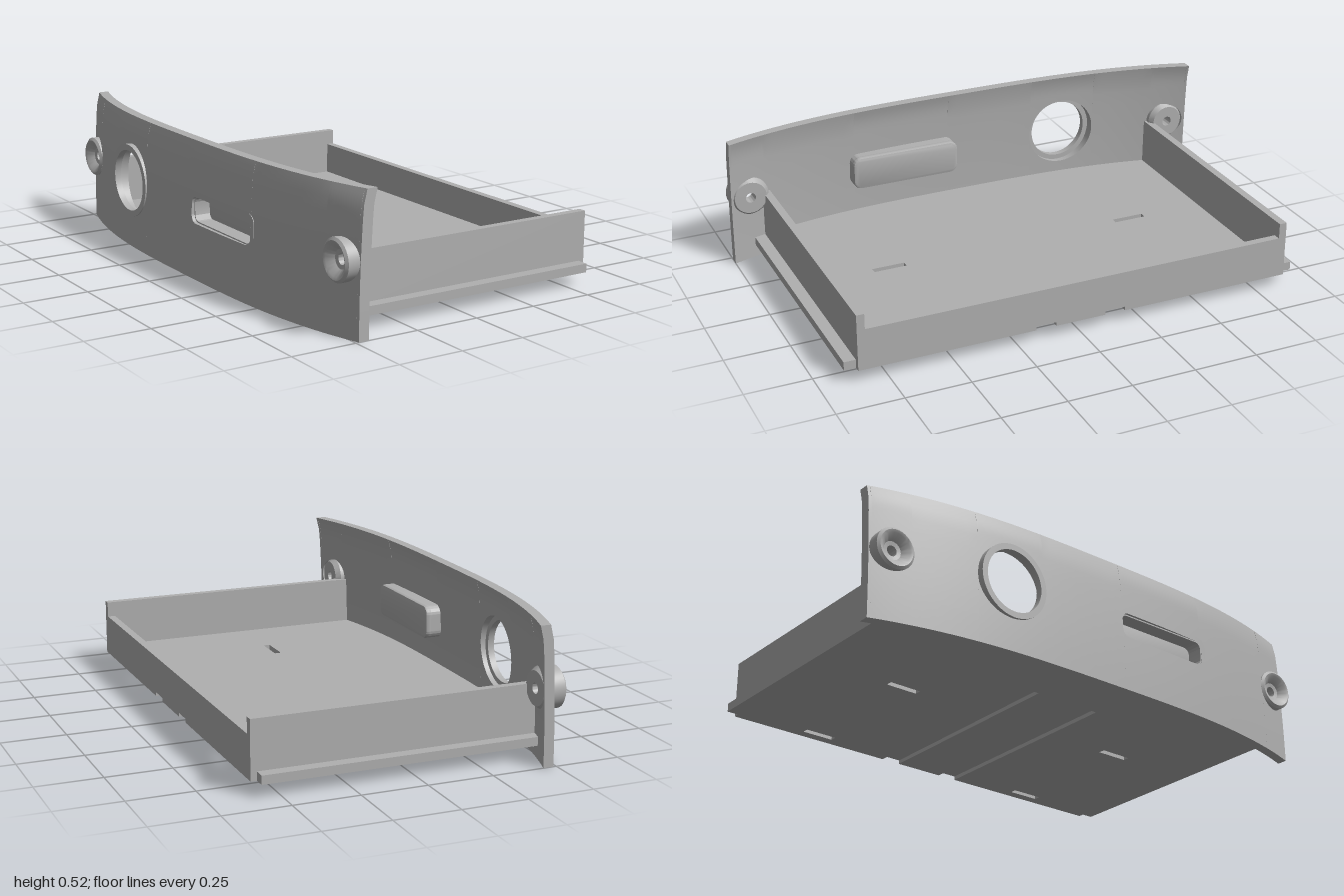
import * as THREE from 'three';
import { mergeGeometries, toCreasedNormals } from 'three/addons/utils/BufferGeometryUtils.js';

const H = 0.52, THICK = 0.04, MID = 0.27;
const plastic = new THREE.MeshStandardMaterial({ color: 0xb0b0b0 });
plastic.name = 'grey plastic';

// Outer face of the bowed, slightly leaning panel
const panelX = (z, y) =>
  -0.6 + 0.112 * Math.abs(z) ** 3 + 0.02 * (y / H) ** 2 + 0.01 * Math.max(0, (y - 0.44) / 0.08) ** 2;

function add(group, name, geometry, crease = 0.5) {
  const mesh = new THREE.Mesh(toCreasedNormals(geometry, crease), plastic);
  mesh.name = name;
  group.add(mesh);
  return mesh;
}

function box(group, name, x0, x1, y0, y1, z0, z1) {
  const g = new THREE.BoxGeometry(x1 - x0, y1 - y0, z1 - z0);
  g.translate((x0 + x1) / 2, (y0 + y1) / 2, (z0 + z1) / 2);
  add(group, name, g);
}

// One stretch of panel between two height curves lo(z) and hi(z)
function panelPiece(zs, lo, hi) {
  const rows = 10, n = 2 * (rows + 1), pos = [], idx = [];
  for (const z of zs) {
    for (let i = 0; i < n; i++) {
      const outer = i <= rows;
      const t = (outer ? i : n - 1 - i) / rows;
      const y = lo(z) + (hi(z) - lo(z)) * t;
      pos.push(panelX(z, y) + (outer ? 0 : THICK), y, z);
    }
  }
  const quad = (a, b, c, d) => idx.push(a, b, c, a, c, d);
  for (let k = 0; k < zs.length - 1; k++) {
    for (let i = 0; i < n; i++) {
      const j = (i + 1) % n;
      quad(k * n + i, (k + 1) * n + i, (k + 1) * n + j, k * n + j);
    }
  }
  const e = (zs.length - 1) * n;
  for (let i = 0; i < rows; i++) {
    quad(i, i + 1, n - 2 - i, n - 1 - i);
    quad(e + n - 1 - i, e + n - 2 - i, e + i + 1, e + i);
  }
  const g = new THREE.BufferGeometry();
  g.setAttribute('position', new THREE.Float32BufferAttribute(pos, 3));
  g.setIndex(idx);
  return g;
}

// Opening outline: half height at distance d from the centre
const roundHole = (c, y, r) => ({ c, y, w: r, half: d => Math.sqrt(Math.max(0, r * r - d * d)) });
const slotHole = (c, y, w, h, r) => ({
  c, y, w,
  half: d => {
    const k = Math.max(0, Math.abs(d) - (w - r));
    return h - r + Math.sqrt(Math.max(0, r * r - k * k));
  },
});

function panelGeometry(holes) {
  const pieces = [], bottom = () => 0, top = () => H;
  const span = (a, b) => {
    const n = Math.max(1, Math.ceil((b - a) / 0.04));
    return Array.from({ length: n + 1 }, (_, i) => a + (b - a) * i / n);
  };
  let z = -1;
  for (const h of holes) {
    pieces.push(panelPiece(span(z, h.c - h.w), bottom, top));
    const zs = Array.from({ length: 33 }, (_, i) => h.c - h.w * Math.cos(Math.PI * i / 32));
    pieces.push(panelPiece(zs, bottom, q => h.y - h.half(q - h.c)));
    pieces.push(panelPiece(zs, q => h.y + h.half(q - h.c), top));
    z = h.c + h.w;
  }
  pieces.push(panelPiece(span(z, 1), bottom, top));
  return mergeGeometries(pieces);
}

// Rounded rectangle drawn in the panel plane (u = -z, v = y)
function roundedRect(path, z, y, w, h, r) {
  const corners = [[1, 1, 0], [-1, 1, 0.5], [-1, -1, 1], [1, -1, 1.5]];
  for (const [su, sv, a] of corners) {
    path.absarc(-z + su * (w - r), y + sv * (h - r), r, a * Math.PI, (a + 0.5) * Math.PI, false);
  }
  path.closePath();
  return path;
}

function extrudeX(shape, x0, x1, options = {}) {
  const g = new THREE.ExtrudeGeometry(shape, {
    depth: x1 - x0, bevelEnabled: false, curveSegments: 24, ...options,
  });
  return g.rotateY(Math.PI / 2).translate(x0, 0, 0);
}

// Floor layer: bowed front edge, straight back edge, optional grooves, through slots
function floorLayer(y0, y1, grooved) {
  const pts = [];
  for (let i = 0; i <= 24; i++) {
    const z = 0.86 - 1.72 * i / 24;
    pts.push(new THREE.Vector2(panelX(z, 0.07) + 0.02, z));
  }
  pts.push(new THREE.Vector2(0.595, -0.86));
  if (grooved) {
    for (const c of [-0.14, 0.14]) {
      for (const [x, z] of [[0.595, c - 0.04], [-0.29, c - 0.04], [-0.29, c + 0.04], [0.595, c + 0.04]]) {
        pts.push(new THREE.Vector2(x, z));
      }
    }
  }
  pts.push(new THREE.Vector2(0.595, 0.86));
  const shape = new THREE.Shape(pts);
  for (const x of [-0.03, 0.53]) {
    for (const z of [-0.58, 0.45]) {
      shape.holes.push(new THREE.Path().setFromPoints([
        new THREE.Vector2(x, z), new THREE.Vector2(x, z + 0.13),
        new THREE.Vector2(x + 0.026, z + 0.13), new THREE.Vector2(x + 0.026, z),
      ]));
    }
  }
  const g = new THREE.ExtrudeGeometry(shape, { depth: y1 - y0, bevelEnabled: false });
  return g.rotateX(-Math.PI / 2).translate(0, y0, 0);
}

export function createModel() {
  const model = new THREE.Group();
  model.name = 'drawerWithCurvedPanel';

  // Curved front panel with its openings
  add(model, 'curvedPanel', panelGeometry([
    roundHole(-0.92, MID, 0.07),
    roundHole(-0.46, MID, 0.14),
    slotHole(0.255, MID - 0.005, 0.205, 0.05, 0.03),
    roundHole(0.92, MID, 0.07),
  ]));

  // Stepped ring in the round opening
  const ring = new THREE.Shape().absarc(0.46, MID, 0.143, 0, Math.PI * 2, false);
  ring.holes.push(new THREE.Path().absarc(0.46, MID, 0.12, 0, Math.PI * 2, true));
  add(model, 'openingRing', extrudeX(ring, -0.598, -0.572));

  // Blind pocket behind the slot
  const frame = roundedRect(new THREE.Shape(), 0.255, MID - 0.005, 0.225, 0.067, 0.035);
  frame.holes.push(roundedRect(new THREE.Path(), 0.255, MID - 0.005, 0.2, 0.045, 0.025));
  add(model, 'pocketWall', extrudeX(frame, -0.583, -0.512));
  const cover = roundedRect(new THREE.Shape(), 0.255, MID - 0.005, 0.225, 0.067, 0.035);
  add(model, 'pocketCover', extrudeX(cover, -0.512, -0.5, {
    bevelEnabled: true, bevelThickness: 0.01, bevelSize: 0.01, bevelOffset: -0.01, bevelSegments: 2,
  }));

  // Dished screw bosses at both ends
  const profile = [
    [0.02, -0.505], [0.035, -0.508], [0.058, -0.532], [0.068, -0.536], [0.078, -0.528],
    [0.078, -0.47], [0.064, -0.45], [0.02, -0.45], [0.02, -0.505],
  ].map(([r, x]) => new THREE.Vector2(r, x));
  for (const side of [-1, 1]) {
    const g = new THREE.LatheGeometry(profile, 40).rotateZ(-Math.PI / 2);
    add(model, 'screwBoss', g.translate(0, MID, side * 0.92));
  }

  // Tray floor in two layers, the lower one grooved
  add(model, 'floorTop', floorLayer(0.065, 0.085, false));
  add(model, 'floorUnderside', floorLayer(0.05, 0.065, true));

  // Tray walls and side rails
  box(model, 'backWall', 0.565, 0.595, 0.08, 0.21, -0.86, 0.86);
  for (const side of [-1, 1]) {
    const between = (a, b) => (side > 0 ? [a, b] : [-b, -a]);
    box(model, 'sideWall', -0.5, 0.595, 0.05, 0.27, ...between(0.832, 0.862));
    box(model, 'sideRail', -0.49, 0.572, 0.05, 0.083, ...between(0.86, 0.907));
  }
  return model;
}
